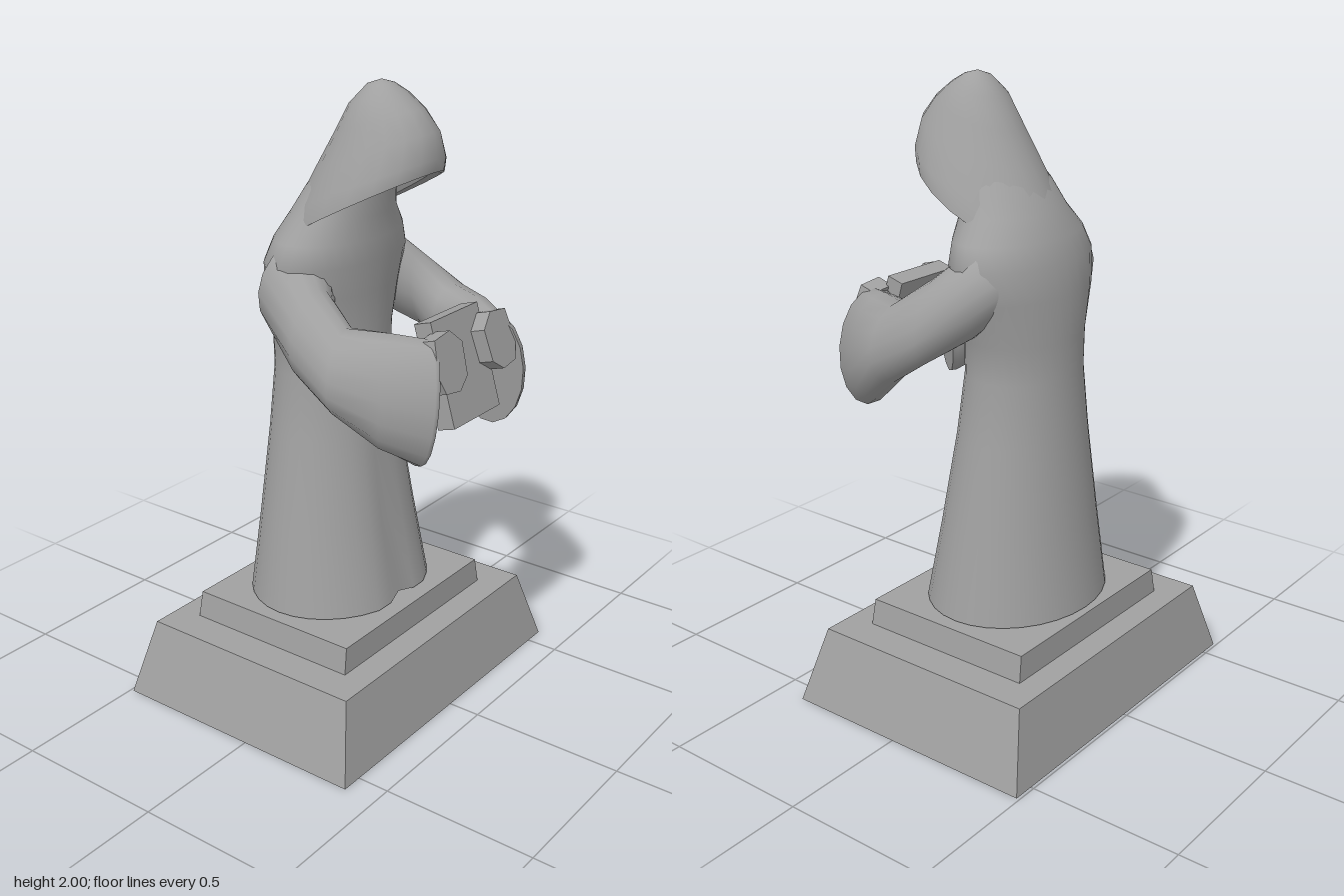
import * as THREE from 'three';

const stone = new THREE.MeshStandardMaterial({ color: 0xa0a0a0 });
stone.name = 'grey stone';

// Closed surface through a list of equally sized rings, with optional sharp caps
function loft(rings, capStart, capEnd) {
  const n = rings[0].length, pos = [], index = [];
  rings.forEach(r => r.forEach(p => pos.push(p.x, p.y, p.z)));
  for (let i = 0; i < rings.length - 1; i++) {
    for (let j = 0; j < n; j++) {
      const a = i * n + j, b = i * n + (j + 1) % n;
      index.push(a, b, a + n, b, b + n, a + n);
    }
  }
  const cap = (ring, flip) => {
    const c = pos.length / 3, mid = new THREE.Vector3();
    ring.forEach(p => mid.addScaledVector(p, 1 / n));
    pos.push(mid.x, mid.y, mid.z);
    ring.forEach(p => pos.push(p.x, p.y, p.z));
    for (let j = 0; j < n; j++) {
      const a = c + 1 + j, b = c + 1 + (j + 1) % n;
      if (flip) index.push(c, b, a); else index.push(c, a, b);
    }
  };
  if (capStart) cap(rings[0], true);
  if (capEnd) cap(rings[rings.length - 1], false);
  const g = new THREE.BufferGeometry();
  g.setAttribute('position', new THREE.Float32BufferAttribute(pos, 3));
  g.setIndex(index);
  g.computeVertexNormals();
  return g;
}

// Ring made from a function of the angle
function ring(n, f) {
  return Array.from({ length: n }, (_, j) => f(j / n * Math.PI * 2));
}

// Tilted oval from front (z, y) and back (z, y) points and a half width
function tiltedRing([fz, fy, bz, by, w]) {
  return ring(20, t => {
    const k = (1 + Math.cos(t)) / 2;
    return new THREE.Vector3(w * Math.sin(t), by + (fy - by) * k, bz + (fz - bz) * k);
  });
}

// Box whose top is smaller than its bottom
function frustum(y0, y1, bottom, top) {
  const g = new THREE.BoxGeometry(1, 1, 1).toNonIndexed(), p = g.attributes.position;
  for (let i = 0; i < p.count; i++) {
    const up = p.getY(i) > 0, [x, zf, zb] = up ? top : bottom;
    p.setXYZ(i, p.getX(i) > 0 ? x : -x, up ? y1 : y0, p.getZ(i) > 0 ? zf : zb);
  }
  g.computeVertexNormals();
  return g;
}

export function createModel() {
  const model = new THREE.Group();
  const add = (name, geometry) => {
    const m = new THREE.Mesh(geometry, stone);
    m.name = name;
    model.add(m);
    return m;
  };

  // Stepped pedestal
  add('pedestalBase', frustum(0, 0.245, [0.57, 0.395, -0.49], [0.492, 0.34, -0.44]));
  add('pedestalStep', frustum(0.24, 0.33, [0.38, 0.25, -0.355], [0.365, 0.245, -0.35]));

  // Robe: height, half width, front z, back z
  const robe = [
    [0.335, 0.325, 0.215, -0.33], [0.6, 0.28, 0.165, -0.3], [0.9, 0.232, 0.115, -0.27],
    [1.1, 0.207, 0.09, -0.255], [1.22, 0.215, 0.085, -0.253], [1.36, 0.26, 0.09, -0.253],
    [1.46, 0.285, 0.1, -0.238], [1.53, 0.255, 0.1, -0.215], [1.6, 0.195, 0.1, -0.18],
    [1.68, 0.165, 0.11, -0.13], [1.76, 0.12, 0.11, -0.06],
  ];
  add('robe', loft(robe.map(([y, w, f, b]) => ring(32, t => {
    // Shallow centre fold that fades out toward the waist
    const x = w * Math.sin(t), fade = Math.max(0, (1.1 - y) / 0.8);
    const fold = Math.cos(t) > 0 ? 0.035 * fade * Math.exp(-((x / 0.06) ** 2)) : 0;
    return new THREE.Vector3(x, y + fold * 0.4, (f + b) / 2 + (f - b) / 2 * Math.cos(t) - fold);
  })), true, true));

  // Hood: front z, y, back z, y, half width
  const rim = [0.29, 1.75, -0.22, 1.48, 0.212];
  add('hood', loft([
    rim,
    [0.298, 1.79, -0.185, 1.58, 0.2],
    [0.285, 1.865, -0.115, 1.72, 0.153],
    [0.235, 1.925, -0.05, 1.83, 0.122],
    [0.18, 1.967, 0.0, 1.925, 0.085],
    [0.14, 1.99, 0.055, 1.985, 0.04],
    [0.1, 2.0, 0.098, 2.0, 0.001],
  ].map(tiltedRing)));
  // Turned-in edge and shaded hollow below the hood
  const lip = [0.25, 1.745, -0.18, 1.5, 0.18];
  add('hoodLip', loft([lip, rim].map(tiltedRing)));
  add('hoodHollow', loft([[0.2, 1.83, -0.08, 1.66, 0.13], lip].map(tiltedRing), true));

  // Sleeves: centre x, y, z, outward half axis x, z, half height, inward lean of the top
  const sleeve = [
    [0.1, 1.42, -0.1, 0.08, -0.09, 0.1, 0],
    [0.2, 1.39, -0.06, 0.115, -0.06, 0.145, 0.02],
    [0.285, 1.29, 0.06, 0.085, -0.015, 0.13, 0.03],
    [0.3, 1.205, 0.18, 0.1, 0.02, 0.125, 0.02],
    [0.25, 1.155, 0.3, 0.088, 0.045, 0.17, 0.025],
    [0.193, 1.12, 0.39, 0.058, 0.085, 0.19, 0.025],
    [0.175, 1.12, 0.395, 0.058, 0.082, 0.188, 0.025],
  ];
  // Hand outline: x, y
  const hand = [[0.21, 1.2], [0.19, 1.145], [0.12, 1.135], [0.07, 1.17], [0.06, 1.27], [0.11, 1.315], [0.19, 1.305]];

  for (const [side, s] of [['left', 1], ['right', -1]]) {
    const rings = sleeve.map(([x, y, z, hx, hz, hh, lean]) => {
      const r = ring(16, t => {
        const c = Math.cos(t), u = Math.sin(t);
        return new THREE.Vector3(s * (x + hx * c - lean * u), y + hh * u, z + hz * c);
      });
      return s > 0 ? r : r.reverse();
    });
    add(side + 'Sleeve', loft(rings, true, true));

    const shape = new THREE.Shape(hand.map(([x, y]) => new THREE.Vector2(s * x, y - 1.22)));
    const g = new THREE.ExtrudeGeometry(shape, { depth: 0.06, bevelEnabled: false });
    const h = add(side + 'Hand', g);
    h.position.set(0, 1.22, 0.395);
    h.rotation.x = -0.29;
  }

  // Book leaning back between the hands
  const book = add('book', new THREE.BoxGeometry(0.25, 0.325, 0.06));
  book.position.set(0, 1.18, 0.387);
  book.rotation.x = -0.29;

  return model;
}
